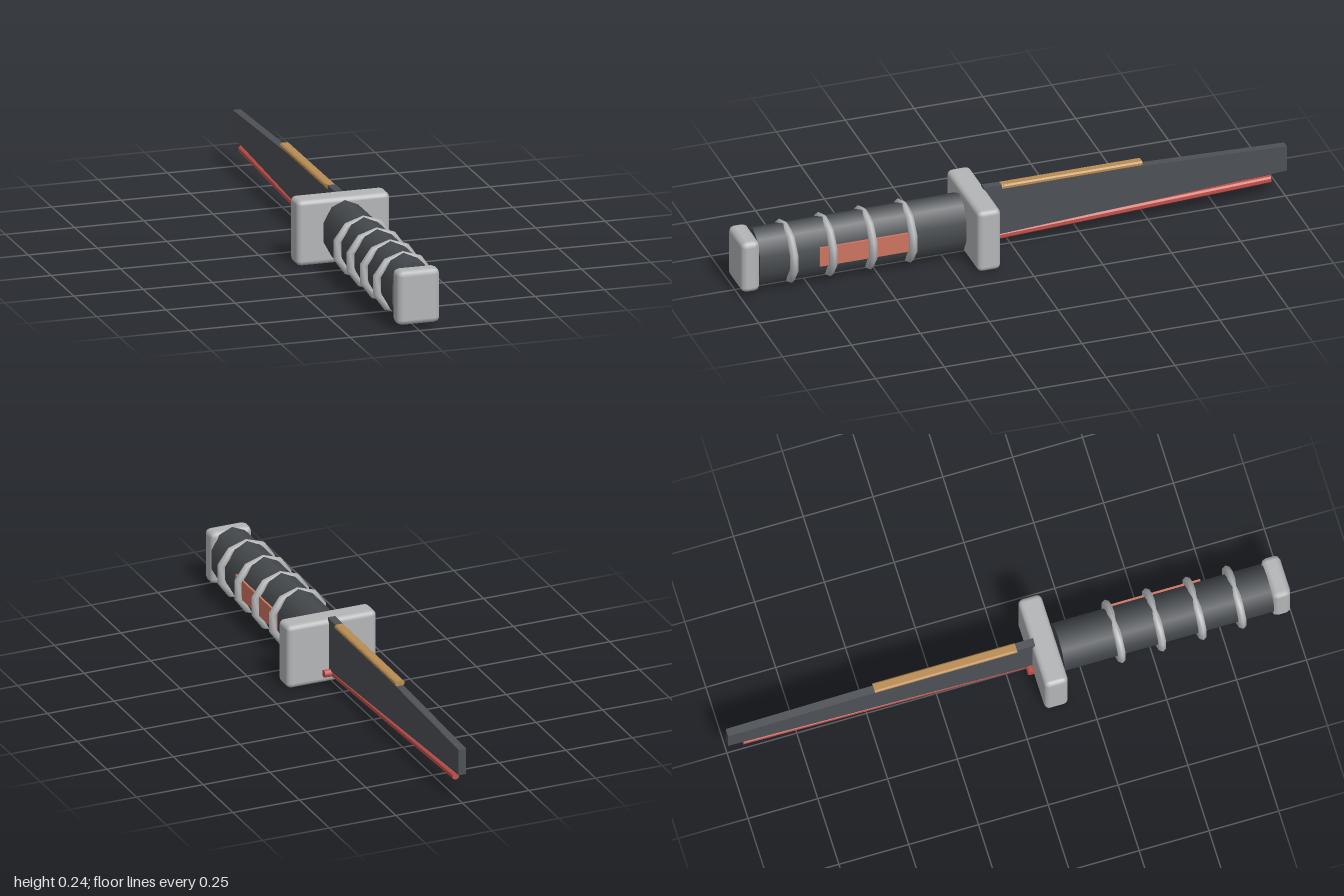
import * as THREE from 'three';
import { RoundedBoxGeometry } from 'three/addons/geometries/RoundedBoxGeometry.js';

const material = (name, color) => {
  const m = new THREE.MeshStandardMaterial({ color });
  m.name = name;
  return m;
};

export function createModel() {
  const group = new THREE.Group();
  const steel = material('light steel', 0xb3b5b7);
  const grip = material('dark grip', 0x45494d);
  const dark = material('dark blade', 0x4d5156);
  const red = material('red', 0xc0504a);
  const orange = material('orange', 0xcd7460);
  const gold = material('gold', 0xb98c52);

  const add = (name, geometry, mat, x = 0, y = 0, z = 0) => {
    const mesh = new THREE.Mesh(geometry, mat);
    mesh.name = name;
    mesh.position.set(x, y, z);
    group.add(mesh);
    return mesh;
  };

  // Bar with chamfered long edges, running along z and centred
  const bar = (w, h, length, c) => {
    const x = w / 2, y = h / 2;
    const pts = [[-x + c, -y], [x - c, -y], [x, -y + c], [x, y - c],
      [x - c, y], [-x + c, y], [-x, y - c], [-x, -y + c]];
    const shape = new THREE.Shape(pts.map(p => new THREE.Vector2(...p)));
    return new THREE.ExtrudeGeometry(shape, { depth: length, bevelEnabled: false })
      .translate(0, 0, -length / 2);
  };

  const midY = 0.119;

  // Pommel and guard blocks
  add('pommel', new RoundedBoxGeometry(0.156, 0.195, 0.068, 1, 0.02), steel, 0, 0.118, 0.966);
  add('guard', new RoundedBoxGeometry(0.336, 0.235, 0.084, 2, 0.018), steel, 0, 0.1175, 0.132);

  // Oval ten-sided handle with a corner at the top
  const handle = new THREE.CylinderGeometry(1, 1, 0.75, 10)
    .rotateX(Math.PI / 2).scale(0.082, 0.109, 1);
  add('handle', handle, grip, 0, midY, 0.56);

  // Round grip rings
  [0.385, 0.53, 0.675, 0.817].forEach((z, i) => {
    const ring = new THREE.TorusGeometry(0.098, 0.015, 6, 10).rotateZ(Math.PI / 2);
    add('gripRing' + (i + 1), ring, steel, 0, midY, z);
  });

  // Inlaid panel on the left side of the handle
  add('handlePanel', new THREE.BoxGeometry(0.008, 0.072, 0.34), orange, 0.081, midY, 0.55);

  // Tapered blade: side outline in z and y, extruded across x
  const outline = new THREE.Shape([[0.1, 0.046], [0.1, 0.241], [-1, 0.203], [-1, 0.107]]
    .map(p => new THREE.Vector2(...p)));
  const blade = new THREE.ExtrudeGeometry(outline, { depth: 0.028, bevelEnabled: false })
    .translate(0, 0, -0.014).rotateY(-Math.PI / 2);
  add('blade', blade, dark);

  // Spine strip on top of the blade
  add('spineStrip', bar(0.034, 0.018, 0.51, 0.005), gold, 0, 0.231, -0.22);

  // Sloping rail below the edge and its cross pin
  const rail = add('lowerRail', bar(0.024, 0.024, 1.04, 0.006), red, 0, 0.057, -0.425);
  rail.rotation.x = Math.atan2(0.042, 1.03);
  const pin = new THREE.CylinderGeometry(0.014, 0.014, 0.076, 8).rotateZ(Math.PI / 2);
  add('crossPin', pin, red, 0, 0.04, 0.08);

  return group;
}
